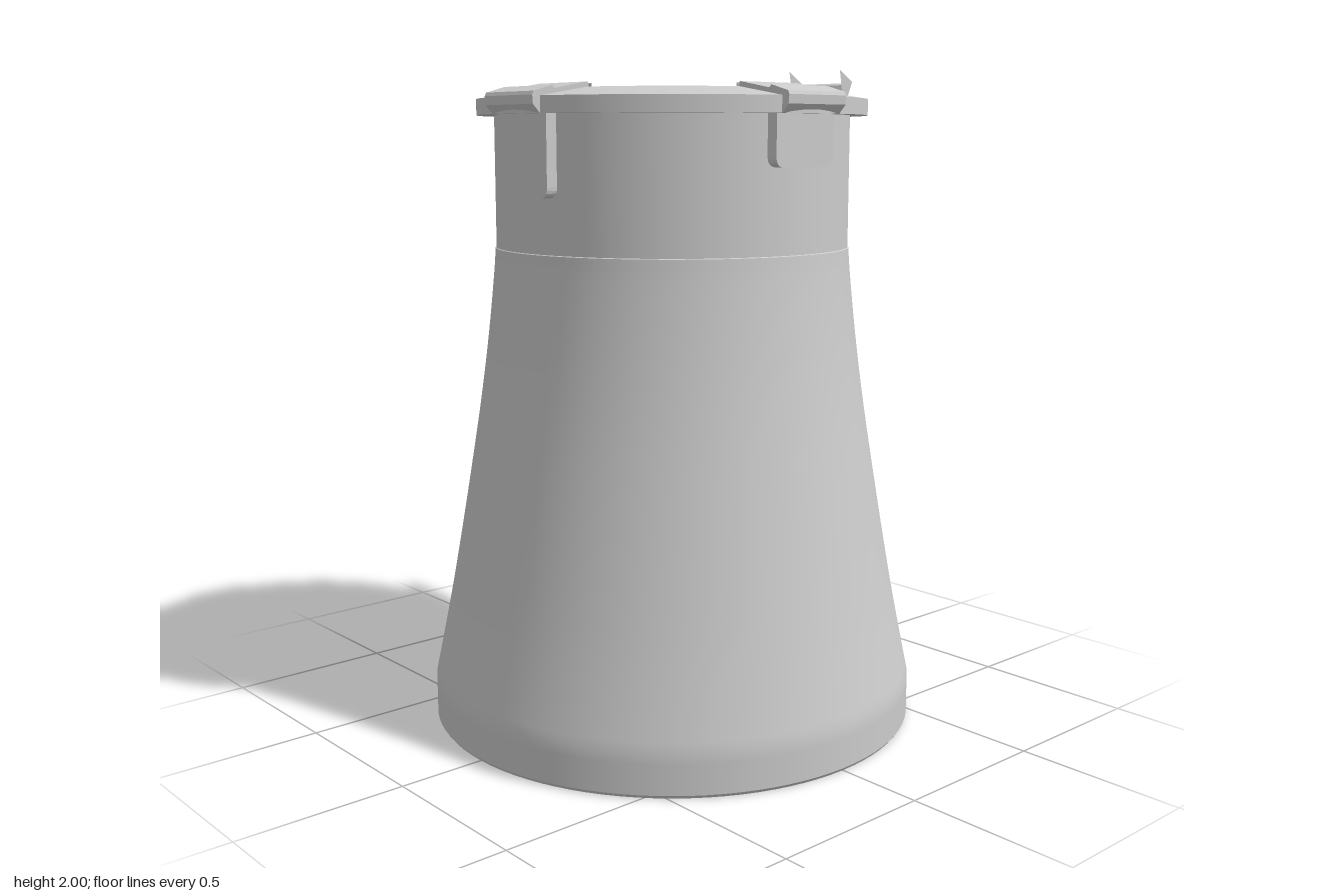
import * as THREE from 'three';

const grey = new THREE.MeshStandardMaterial({ color: 0xcccccc });
grey.name = 'grey';
const greyThin = grey.clone();
greyThin.name = 'grey thin sheet';
greyThin.side = THREE.DoubleSide;

const WIDTH = 0.225; // clip width
const v2 = (pts) => pts.map(([x, y]) => new THREE.Vector2(x, y));

function mesh(name, geometry, material = grey) {
  const m = new THREE.Mesh(geometry, material);
  m.name = name;
  return m;
}

// One smooth surface of revolution; separate calls leave sharp edges between them
const ring = (name, pts) => mesh(name, new THREE.LatheGeometry(v2(pts), 96));

// Side profile (radius, height) extruded across the clip width
function strip(name, pts) {
  const g = new THREE.ExtrudeGeometry(new THREE.Shape(v2(pts)), { depth: WIDTH, bevelEnabled: false });
  g.translate(0, 0, -WIDTH / 2);
  return mesh(name, g);
}

// Hanging tab with rounded lower corners, standing on the neck at +x
function tab(bottom) {
  const h = WIDTH / 2, r = 0.03, top = 1.846;
  const s = new THREE.Shape();
  s.moveTo(-h, top);
  s.lineTo(-h, bottom + r);
  s.quadraticCurveTo(-h, bottom, -h + r, bottom);
  s.lineTo(h - r, bottom);
  s.quadraticCurveTo(h, bottom, h, bottom + r);
  s.lineTo(h, top);
  const g = new THREE.ExtrudeGeometry(s, { depth: 0.045, bevelEnabled: false, curveSegments: 6 });
  g.rotateY(Math.PI / 2);
  g.translate(0.51, 0, 0);
  return mesh('clipTab', g);
}

// Curved hook inside the mouth
function hook() {
  const a = WIDTH / 2 / 0.415;
  const pts = v2([[0.41, 1.88], [0.425, 1.88], [0.425, 1.925], [0.41, 1.93], [0.41, 1.88]]);
  return mesh('clipHook', new THREE.LatheGeometry(pts, 8, Math.PI / 2 - a, 2 * a), greyThin);
}

// Closed clip, built facing +x
function closedClip(bottom) {
  const g = new THREE.Group();
  g.add(strip('clipPlate', [
    [0.405, 1.915], [0.41, 1.934], [0.525, 1.914], [0.532, 1.922], [0.595, 1.905],
    [0.6, 1.895], [0.598, 1.87], [0.575, 1.846], [0.53, 1.846], [0.53, 1.895],
  ]));
  g.add(tab(bottom), hook());
  return g;
}

// Clip with its latch flipped up
function openClip() {
  const g = new THREE.Group();
  g.add(strip('clipPlate', [[0.41, 1.915], [0.415, 1.932], [0.575, 1.898], [0.575, 1.89]]));
  g.add(strip('openLatch', [
    [0.57, 1.846], [0.6, 1.845], [0.625, 1.853], [0.645, 1.88], [0.678, 1.957],
    [0.655, 1.95], [0.632, 1.905], [0.615, 1.89], [0.57, 1.89],
  ]));
  // thin pointed cheeks at both ends of the latch
  for (const s of [-1, 1]) {
    const cheek = mesh('latchCheek', new THREE.ShapeGeometry(new THREE.Shape(v2([
      [0.615, 1.885], [0.65, 1.89], [0.68, 1.96], [0.62, 1.998], [0.632, 1.93],
    ]))), greyThin);
    cheek.position.z = s * WIDTH / 2;
    g.add(cheek);
  }
  g.add(hook());
  return g;
}

export function createModel() {
  const model = new THREE.Group();
  model.name = 'flaredHousing';

  // flared body
  const skirt = new THREE.CatmullRomCurve3([
    [0.745, 0.13], [0.722, 0.24], [0.69, 0.4], [0.654, 0.6], [0.62, 0.8],
    [0.588, 1.0], [0.561, 1.2], [0.54, 1.4], [0.536, 1.455],
  ].map(([x, y]) => new THREE.Vector3(x, y, 0))).getPoints(28).map((p) => [p.x, p.y]);
  model.add(
    ring('footRing', [[0.67, 0], [0.738, 0]]),
    ring('footBevel', [[0.738, 0], [0.745, 0.01]]),
    ring('body', [[0.745, 0.01], [0.745, 0.1], ...skirt]),
    ring('neckStep', [[0.536, 1.455], [0.533, 1.457]]),
    ring('neck', [[0.533, 1.457], [0.533, 1.846]]),
  );

  // flange and funnel mouth
  model.add(
    ring('flangeUnderside', [[0.533, 1.846], [0.585, 1.846]]),
    ring('flangeEdge', [[0.585, 1.846], [0.585, 1.893]]),
    ring('flangeTop', [[0.585, 1.893], [0.425, 1.92]]),
    ring('mouthLip', [[0.425, 1.92], [0.42, 1.89]]),
    ring('funnel', [[0.42, 1.89], [0.25, 1.725]]),
    ring('funnelLip', [[0.25, 1.725], [0.25, 1.718]]),
    ring('funnelUnderside', [[0.25, 1.718], [0.385, 1.845], [0.46, 1.845]]),
  );

  // inner wall
  model.add(ring('innerWall', [
    [0.46, 1.845], [0.46, 1.46], [0.466, 1.4], [0.488, 1.2], [0.515, 1.0],
    [0.546, 0.8], [0.58, 0.6], [0.616, 0.4], [0.65, 0.22], [0.67, 0.12], [0.67, 0],
  ]));

  // four clips around the flange
  const clips = [
    ['leftClip', closedClip(1.7), 0],
    ['rightClip', closedClip(1.7), Math.PI],
    ['frontClip', closedClip(1.615), -Math.PI / 2],
    ['backClip', openClip(), Math.PI / 2],
  ];
  for (const [name, clip, angle] of clips) {
    clip.name = name;
    clip.rotation.y = angle;
    model.add(clip);
  }
  return model;
}
